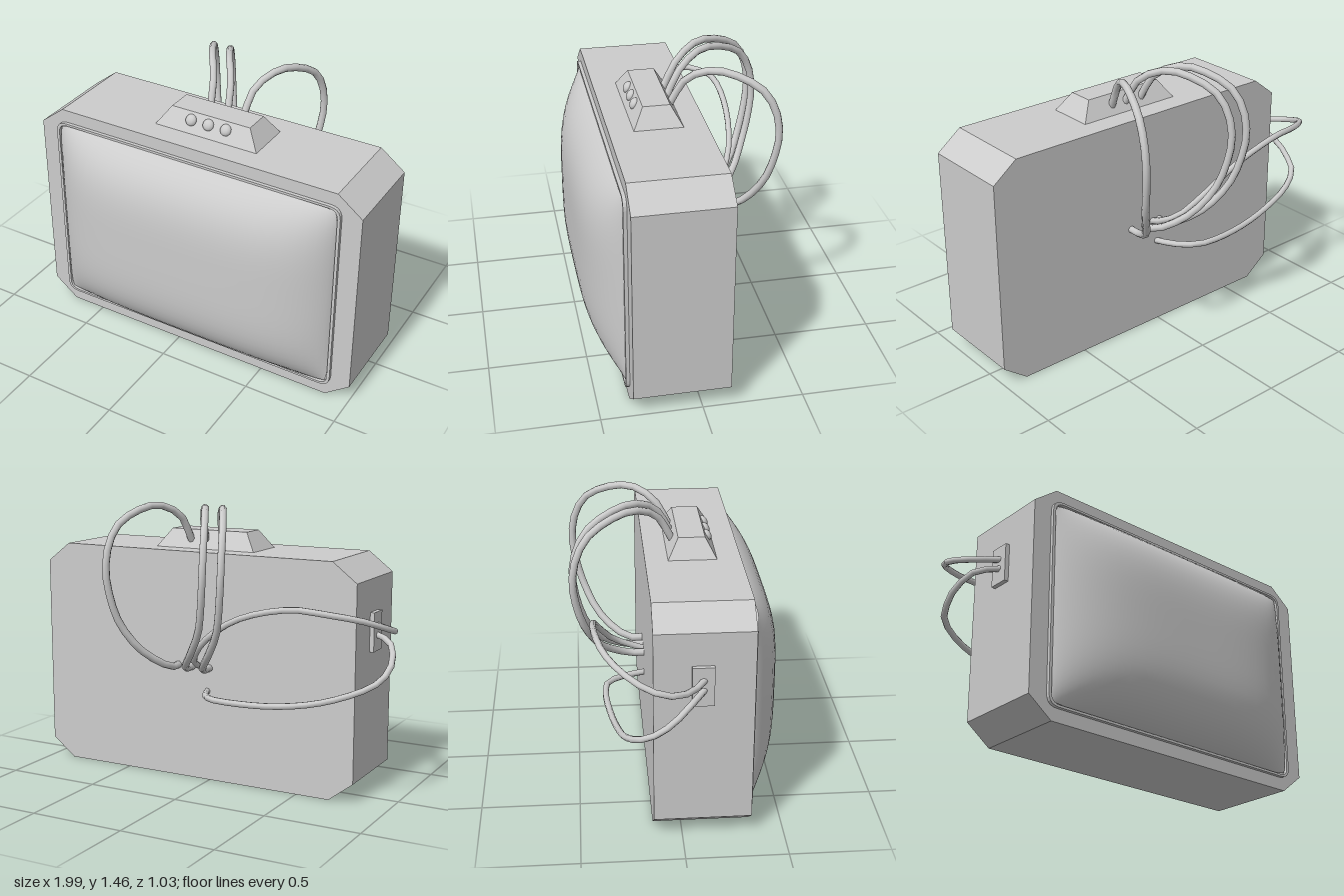
import * as THREE from 'three';

const smooth = new THREE.MeshStandardMaterial({ color: 0xcccccc, side: THREE.DoubleSide });
const flat = new THREE.MeshStandardMaterial({ color: 0xcccccc, flatShading: true });

// Rectangle outline with rounded corners (Shape or Path)
function roundedRect(path, x0, y0, x1, y1, r) {
  path.moveTo(x0 + r, y0);
  path.lineTo(x1 - r, y0).quadraticCurveTo(x1, y0, x1, y0 + r);
  path.lineTo(x1, y1 - r).quadraticCurveTo(x1, y1, x1 - r, y1);
  path.lineTo(x0 + r, y1).quadraticCurveTo(x0, y1, x0, y1 - r);
  path.lineTo(x0, y0 + r).quadraticCurveTo(x0, y0, x0 + r, y0);
  return path;
}

export function createModel() {
  const model = new THREE.Group();
  const add = (name, geometry, material, x = 0, y = 0, z = 0) => {
    const mesh = new THREE.Mesh(geometry, material);
    mesh.name = name;
    mesh.position.set(x, y, z);
    model.add(mesh);
    return mesh;
  };

  // Body: box with chamfered corners
  const L = -0.81, R = 1, H = 1.205, cx = 0.13, cy = 0.1;
  const outline = new THREE.Shape([
    [L + cx, 0], [R - cx, 0], [R, cy], [R, H - cy],
    [R - cx, H], [L + cx, H], [L, H - cy], [L, cy],
  ].map(([x, y]) => new THREE.Vector2(x, y)));
  add('body', new THREE.ExtrudeGeometry(outline, { depth: 0.48, bevelEnabled: false }), flat, 0, 0, -0.14);

  // Thin trim around the screen
  const trim = roundedRect(new THREE.Shape(), -0.71, 0.068, 0.897, 1.138, 0.06);
  trim.holes.push(roundedRect(new THREE.Path(), -0.695, 0.08, 0.882, 1.126, 0.05));
  add('screenTrim', new THREE.ExtrudeGeometry(trim, { depth: 0.02, bevelEnabled: false, curveSegments: 5 }), flat, 0, 0, 0.338);

  // Bulging screen: a grid pushed outwards, steep at its rim
  const screen = new THREE.PlaneGeometry(2, 2, 28, 28);
  const pos = screen.attributes.position;
  const bulge = (t) => Math.pow(Math.max(0, 1 - t ** 4), 0.8);
  for (let i = 0; i < pos.count; i++) {
    const u = Math.sin(pos.getX(i) * Math.PI / 2);
    const v = Math.sin(pos.getY(i) * Math.PI / 2);
    pos.setXYZ(i,
      0.787 * u * (1 - 0.018 * v ** 16),
      0.522 * v * (1 - 0.025 * u ** 16),
      0.168 * bulge(u) * bulge(v));
  }
  screen.computeVertexNormals();
  add('screen', screen, smooth, 0.093, 0.603, 0.349);

  // Control housing: a block narrowing towards its top
  const housing = new THREE.BoxGeometry(0.58, 0.1, 0.25);
  const hp = housing.attributes.position;
  for (let i = 0; i < hp.count; i++) {
    if (hp.getY(i) > 0) {
      hp.setX(i, hp.getX(i) * 0.76);
      hp.setZ(i, hp.getZ(i) * 0.54);
    }
  }
  add('controlHousing', housing, flat, 0.093, 1.25, 0.097);

  // Three buttons on the sloping front of the housing
  for (const x of [-0.005, 0.093, 0.191]) {
    const button = add('button', new THREE.SphereGeometry(0.03, 12, 8), smooth, x, 1.263, 0.186);
    button.scale.z = 0.7;
    button.rotation.x = -0.5;
  }

  // Socket plate on the right side
  add('socketPlate', new THREE.BoxGeometry(0.025, 0.2, 0.105), flat, -0.82, 0.838, 0.093);

  const cable = (name, points, radius) => {
    const curve = new THREE.CatmullRomCurve3(points.map((p) => new THREE.Vector3(...p)));
    add(name, new THREE.TubeGeometry(curve, 22, radius, 8), smooth);
  };

  // Three cables looping from the housing to the back: [y, z, share of sideways swing]
  const loop = [
    [1.24, 0.01, 0], [1.38, -0.07, 0.11], [1.44, -0.19, 0.41], [1.415, -0.32, 0.68],
    [1.35, -0.425, 0.89], [1.25, -0.48, 0.98], [1.13, -0.5, 1], [1.0, -0.485, 0.94],
    [0.86, -0.445, 0.8], [0.72, -0.37, 0.45], [0.635, -0.27, 0.12], [0.605, -0.2, 0], [0.605, -0.12, 0],
  ];
  for (const [x, swing] of [[0, -0.26], [0.1, -0.26], [0.185, 0.205]]) {
    cable('topCable', loop.map(([y, z, s]) => [x + swing * s, y, z]), 0.019);
  }

  // Two cables from the socket plate round to the back
  cable('upperSideCable', [
    [-0.82, 0.87, 0.1], [-0.92, 0.865, 0.03], [-0.98, 0.88, -0.07], [-0.97, 0.91, -0.17],
    [-0.89, 0.955, -0.28], [-0.75, 0.985, -0.36], [-0.58, 1.0, -0.4], [-0.3, 0.93, -0.405],
    [-0.1, 0.8, -0.37], [0, 0.69, -0.3], [0.04, 0.63, -0.2], [0.045, 0.6, -0.12],
  ], 0.016);
  cable('lowerSideCable', [
    [-0.82, 0.82, 0.1], [-0.92, 0.8, 0.03], [-0.97, 0.73, -0.06], [-0.965, 0.67, -0.14],
    [-0.93, 0.63, -0.21], [-0.82, 0.58, -0.27], [-0.66, 0.53, -0.3], [-0.46, 0.5, -0.33],
    [-0.25, 0.495, -0.35], [-0.12, 0.495, -0.335], [-0.03, 0.485, -0.24], [0.02, 0.48, -0.12],
  ], 0.016);

  return model;
}
